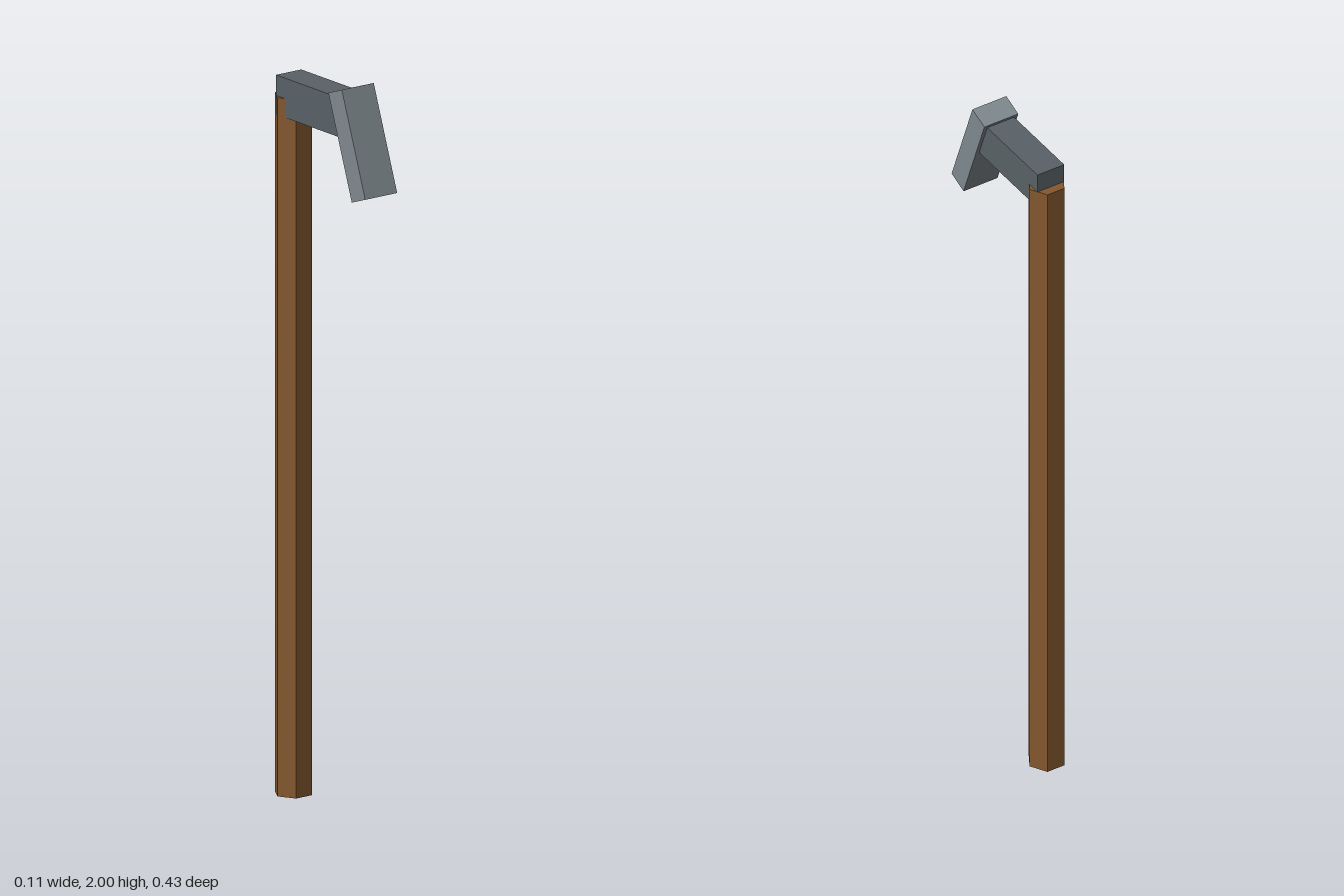
import * as THREE from 'three';

export function createModel() {
  const group = new THREE.Group();

  const addPart = (name, geometry, color, y, z) => {
    const material = new THREE.MeshStandardMaterial({ color, flatShading: true });
    const mesh = new THREE.Mesh(geometry, material);
    mesh.name = name;
    mesh.position.set(0, y, z);
    group.add(mesh);
    return mesh;
  };

  // Hexagonal wooden handle, flat sides facing front and back
  const handleHeight = 1.915;
  const handle = new THREE.CylinderGeometry(0.053, 0.053, handleHeight, 6);
  handle.rotateY(Math.PI / 6);
  addPart('handle', handle, 0x85582f, handleHeight / 2, -0.167);

  // Metal arm reaching forward from the top of the handle
  addPart('arm', new THREE.BoxGeometry(0.084, 0.108, 0.298), 0x596267, 1.917, -0.039);

  // Blade, its lower end tilted forward
  const blade = addPart('blade', new THREE.BoxGeometry(0.106, 0.296, 0.062), 0x7f898e, 1.851, 0.1325);
  blade.rotation.x = THREE.MathUtils.degToRad(-20);

  return group;
}
